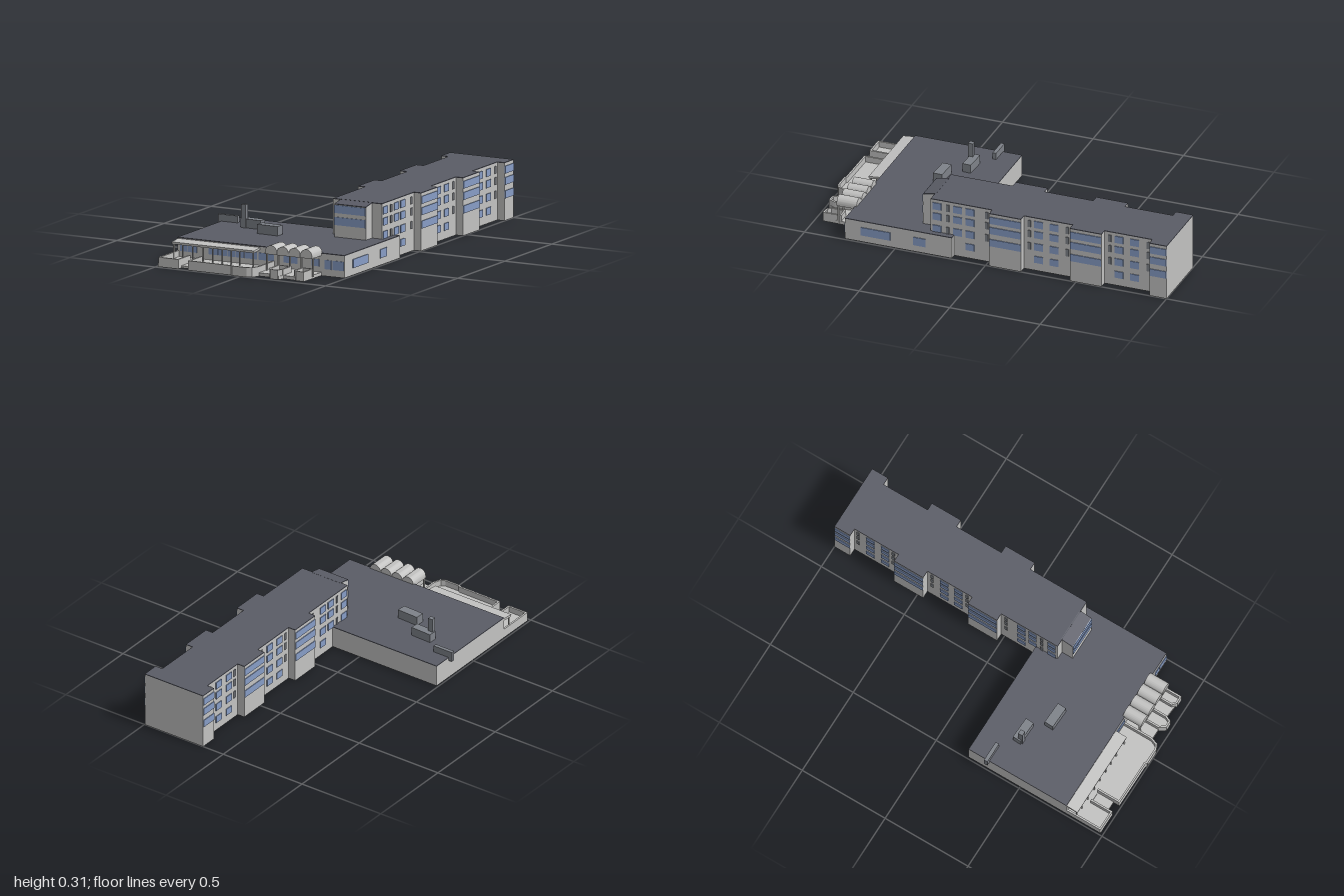
import * as THREE from 'three';
import { toCreasedNormals } from 'three/addons/utils/BufferGeometryUtils.js';

function paint(name, color) {
  const m = new THREE.MeshStandardMaterial({ color });
  m.name = name;
  return m;
}

export function createModel() {
  const wall = paint('pale concrete', 0xc2c2c1);
  const roof = paint('dark roof', 0x5a5c66);
  const glass = paint('blue glass', 0x879dc6);
  const plant = paint('grey metal', 0x7e8289);
  const model = new THREE.Group();
  model.name = 'building';

  function add(name, geo, mat, parent = model) {
    const mesh = new THREE.Mesh(geo, mat);
    mesh.name = name;
    parent.add(mesh);
    return mesh;
  }
  // Box given by its limits on each axis
  function box(name, mat, x0, x1, y0, y1, z0, z1, parent) {
    const m = add(name, new THREE.BoxGeometry(x1 - x0, y1 - y0, z1 - z0), mat, parent);
    m.position.set((x0 + x1) / 2, (y0 + y1) / 2, (z0 + z1) / 2);
    return m;
  }
  // Flat outline of [x, z] points raised from y0 to y1
  function prism(name, mat, pts, y0, y1, parent) {
    const shape = new THREE.Shape(pts.map(([x, z]) => new THREE.Vector2(x, -z)));
    const geo = new THREE.ExtrudeGeometry(shape, { depth: y1 - y0, bevelEnabled: false });
    geo.rotateX(-Math.PI / 2);
    geo.translate(0, y0, 0);
    return add(name, geo, mat, parent);
  }
  // Low parapet following a path of [x, z] points
  function parapet(name, pts, height, parent) {
    const t = 0.01;
    for (let i = 0; i < pts.length - 1; i++) {
      const [ax, az] = pts[i], [bx, bz] = pts[i + 1];
      const len = Math.hypot(bx - ax, bz - az);
      const m = add(name, new THREE.BoxGeometry(len + t * 0.7, height, t), wall, parent);
      m.position.set((ax + bx) / 2, height / 2, (az + bz) / 2);
      m.rotation.y = -Math.atan2(bz - az, bx - ax);
    }
  }

  // Low main hall
  const H = 0.115;
  box('hallWalls', wall, -0.49, 0.49, 0, H, 0.19, 0.78);
  box('hallRoof', roof, -0.49, 0.49, H, 0.119, 0.19, 0.78);

  // Long wing with projecting bays on both sides
  const wing = new THREE.Group();
  wing.name = 'wing';
  model.add(wing);
  const cx = 0.313, half = 0.143, bayHalf = 0.185;
  const bays = [[-1, -0.905], [-0.64, -0.465], [-0.195, -0.02]];
  const outline = [];
  for (const [z0, z1] of bays) {
    outline.push([bayHalf, z0], [bayHalf, z1], [half, z1]);
    if (z0 > -1) outline.splice(outline.length - 3, 0, [half, z0]);
  }
  outline.push([half, 0.32]);
  const footprint = [
    ...outline.map(([x, z]) => [cx + x, z]),
    ...outline.slice().reverse().map(([x, z]) => [cx - x, z]),
  ];
  prism('wingWalls', wall, footprint, 0, 0.301, wing);
  prism('wingRoof', roof, footprint, 0.301, 0.305, wing);

  // Wing windows: centre z, width, on the recessed walls
  const rows = [[0.045, 0.083], [0.117, 0.157], [0.188, 0.227], [0.247, 0.286]];
  const squares = [0.285, 0.17, 0.103, -0.277, -0.363, -0.72, -0.808];
  const slits = [0.225, 0.01, -0.225, -0.435, -0.67, -0.882];
  for (const s of [-1, 1]) {
    const sideBox = (name, mat, d, z0, z1, y0, y1) => {
      const a = cx + s * (d - 0.002), b = cx + s * (d + 0.004);
      box(name, mat, Math.min(a, b), Math.max(a, b), y0, y1, z0, z1, wing);
    };
    rows.forEach(([y0, y1], i) => {
      for (const z of squares) {
        if (i > 0 || z < 0.15) sideBox('wingWindow', glass, half, z - 0.024, z + 0.024, y0, y1);
      }
      for (const z of slits) {
        if (i > 0) sideBox('slitWindow', plant, half, z - 0.008, z + 0.008, y0, y1);
      }
      if (i > 0) {
        for (const [z0, z1] of bays) {
          sideBox('bayWindow', glass, bayHalf, z0 + 0.002, z1 - 0.002, y0, y1);
        }
      }
    });
  }

  // Glazed bay on the wing's front, with a sloping roof
  const profile = new THREE.Shape([[0.31, 0.1], [0.385, 0.1], [0.385, 0.288], [0.31, 0.302]]
    .map(([z, y]) => new THREE.Vector2(-z, y)));
  const bayGeo = new THREE.ExtrudeGeometry(profile, { depth: 0.184, bevelEnabled: false });
  bayGeo.rotateY(Math.PI / 2);
  bayGeo.translate(0.213, 0, 0);
  add('frontBay', bayGeo, wall, wing);
  const cap = box('frontBayRoof', roof, 0.213, 0.397, -0.002, 0.002, -0.036, 0.036, wing);
  cap.position.set(0.305, 0.297, 0.349);
  cap.rotation.x = Math.atan2(0.014, 0.075);
  for (const [y0, y1] of [[0.182, 0.224], [0.245, 0.287]]) {
    box('frontBayWindow', glass, 0.214, 0.396, y0, y1, 0.383, 0.389, wing);
  }

  // Roof plant
  const unitA = box('roofUnit', plant, -0.328, -0.207, 0.117, 0.166, 0.359, 0.406);
  unitA.rotation.y = -0.04;
  const unitB = box('roofUnit', plant, -0.174, -0.052, 0.117, 0.168, 0.456, 0.506);
  unitB.rotation.y = -0.04;
  box('chimney', plant, -0.321, -0.295, 0.117, 0.241, 0.385, 0.41);
  box('roofScreen', plant, -0.51, -0.395, 0.1, 0.155, 0.295, 0.315);

  // Hall windows on the front
  const front = [[-0.472, -0.43], [-0.425, -0.375], [-0.305, -0.253], [-0.25, -0.198],
    [-0.194, -0.148], [-0.143, -0.097], [-0.092, -0.022], [-0.012, 0.078],
    [0.135, 0.216], [0.298, 0.344]];
  for (const [a, b] of front) box('hallWindow', glass, a, b, 0.048, 0.085, 0.778, 0.784);
  for (const [a, b] of [[0.376, 0.414], [0.422, 0.488]]) {
    box('hallWindow', glass, a, b, 0.037, 0.085, 0.778, 0.784);
  }
  // Hall windows on the side
  for (const [a, b] of [[0.53, 0.692], [0.335, 0.403]]) {
    box('hallSideWindow', glass, 0.488, 0.494, 0.037, 0.083, a, b);
  }

  // Canopy on slim posts
  const canopy = box('canopy', wall, -0.488, -0.005, -0.006, 0.006, -0.033, 0.033);
  canopy.position.set(-0.2465, 0.103, 0.812);
  canopy.rotation.x = 0.1;
  for (const x of [-0.48, -0.428, -0.37, -0.308, -0.252, -0.196, -0.145, -0.094, -0.015]) {
    box('canopyPost', wall, x - 0.003, x + 0.003, 0.015, 0.1, 0.832, 0.838);
  }

  // Terraces: floor plus surrounding parapet
  const terraces = new THREE.Group();
  terraces.name = 'terraces';
  model.add(terraces);
  const F = 0.018;
  prism('terraceFloor', wall, [[-0.49, 0.77], [-0.49, 0.985], [-0.372, 0.985], [-0.372, 0.86],
    [-0.31, 0.86], [-0.31, 0.985], [0.04, 0.995], [0.08, 0.945], [0.08, 0.77]], 0, F, terraces);
  parapet('terraceWall', [[-0.485, 0.78], [-0.485, 0.98], [-0.375, 0.98], [-0.375, 0.86]], 0.05, terraces);
  parapet('terraceWall', [[-0.307, 0.86], [-0.307, 0.985], [-0.06, 0.987], [-0.05, 0.994],
    [0.035, 0.994], [0.06, 0.983], [0.075, 0.945], [0.075, 0.78]], 0.05, terraces);
  box('terraceStep', wall, -0.372, -0.31, 0, 0.012, 0.86, 0.955, terraces);

  // Entrance paths and planters under the vaults
  prism('entranceFloor', wall, [[0.08, 0.77], [0.08, 0.945], [0.15, 0.945], [0.165, 0.975],
    [0.21, 0.975], [0.225, 0.945], [0.285, 0.95], [0.35, 0.955], [0.355, 0.77]], 0, F, terraces);
  parapet('planterWall', [[0.148, 0.86], [0.148, 0.945], [0.168, 0.975], [0.203, 0.975],
    [0.217, 0.945], [0.217, 0.86], [0.148, 0.86]], 0.05, terraces);
  parapet('planterWall', [[0.288, 0.86], [0.288, 0.935], [0.308, 0.953], [0.346, 0.953],
    [0.346, 0.86], [0.288, 0.86]], 0.05, terraces);

  // Row of four barrel vaults on posts
  const r = 0.0338;
  const arch = new THREE.Shape();
  arch.moveTo(-r, 0.105);
  arch.lineTo(r, 0.105);
  arch.lineTo(r, 0.118);
  arch.absarc(0, 0.118, r, 0, Math.PI, false);
  arch.closePath();
  const archGeo = toCreasedNormals(
    new THREE.ExtrudeGeometry(arch, { depth: 0.11, bevelEnabled: false, curveSegments: 12 }), 0.6);
  for (let i = 0; i < 4; i++) {
    add('vault', archGeo, wall).position.set(0.114 + i * 0.0688, 0, 0.77);
  }
  for (let i = 0; i < 5; i++) {
    const x = 0.084 + i * 0.0675;
    box('vaultPost', wall, x - 0.004, x + 0.004, 0.01, 0.107, 0.865, 0.873);
  }
  return model;
}
